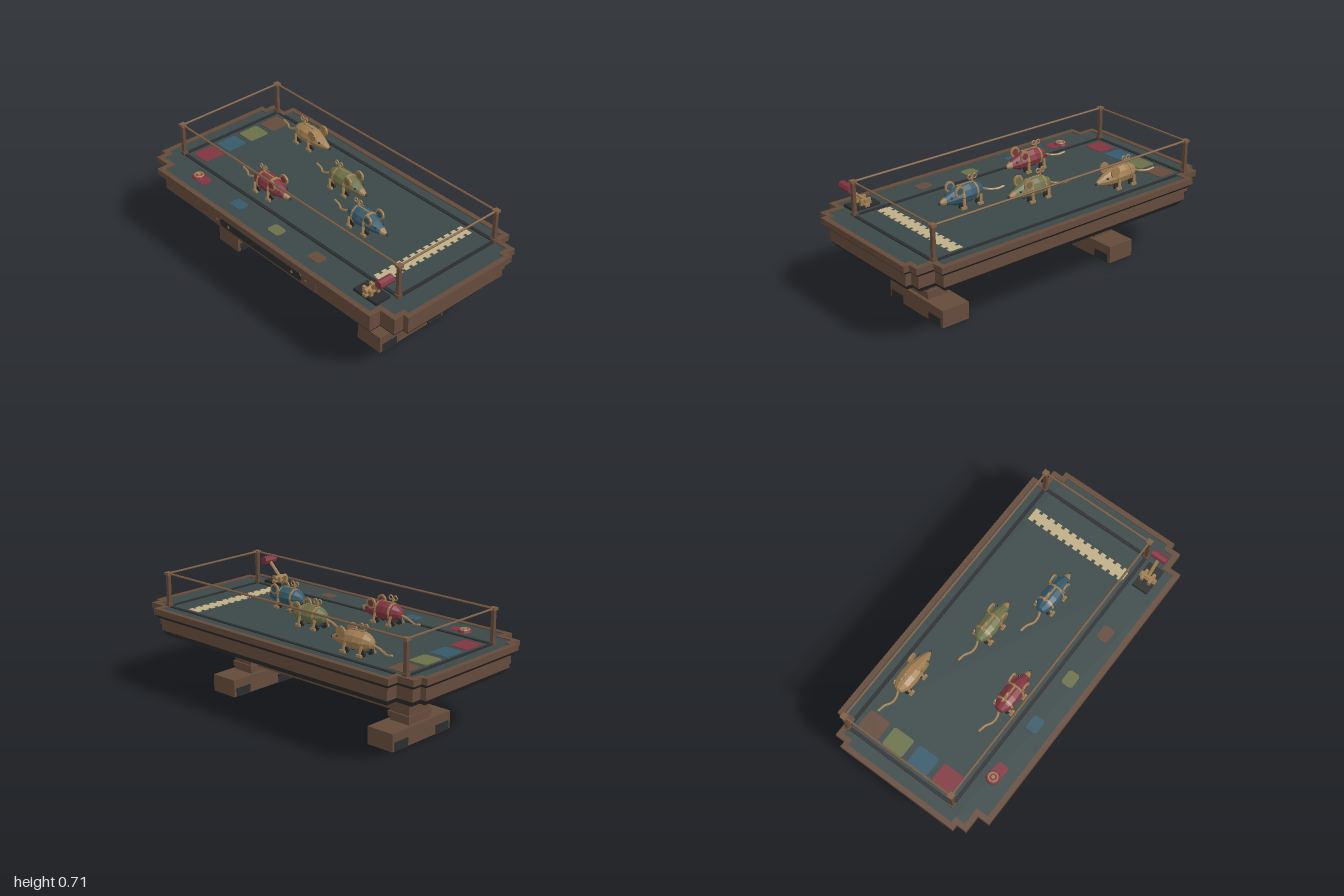
import * as THREE from 'three';

const mat = (name, color) => {
  const m = new THREE.MeshStandardMaterial({ color });
  m.name = name;
  return m;
};

export function createModel() {
  const root = new THREE.Group();
  root.name = 'mouseRaceTable';
  const brown = mat('walnut brown', 0x644b3b), dark = mat('charcoal', 0x2b2c2d), felt = mat('teal felt', 0x3b4848);
  const red = mat('dusty red', 0x80343f), blue = mat('dusty blue', 0x36596b), green = mat('olive green', 0x6b7049);
  const tan = mat('brass tan', 0x9f7d51), cream = mat('cream', 0xbfae86), copper = mat('copper', 0x7d5d43);

  const add = (parent, name, geo, material, x = 0, y = 0, z = 0) => {
    const g = geo.index ? geo.toNonIndexed() : geo;
    g.computeVertexNormals(); // faceted look
    const m = new THREE.Mesh(g, material);
    m.name = name;
    m.position.set(x, y, z);
    parent.add(m);
    return m;
  };
  // box given by its ranges
  const box = (parent, name, material, x0, x1, y0, y1, z0, z1) =>
    add(parent, name, new THREE.BoxGeometry(x1 - x0, y1 - y0, z1 - z0), material,
      (x0 + x1) / 2, (y0 + y1) / 2, (z0 + z1) / 2);
  // straight bar between two points
  const bar = (parent, name, material, a, b, r, sides = 6) => {
    const A = new THREE.Vector3(...a), B = new THREE.Vector3(...b);
    const m = add(parent, name, new THREE.CylinderGeometry(r, r, A.distanceTo(B), sides), material);
    m.position.copy(A).lerp(B, 0.5);
    m.quaternion.setFromUnitVectors(new THREE.Vector3(0, 1, 0), B.sub(A).normalize());
    return m;
  };

  // Table top: stepped corner outline
  const outline = inset => {
    const q = [[1, 0.37], [0.966, 0.37], [0.966, 0.43], [0.866, 0.43], [0.866, 0.5]]
      .map(([x, y]) => [x - inset, y - inset]);
    const r = [...q].reverse();
    return [...q, ...r.map(([x, y]) => [-x, y]), ...q.map(([x, y]) => [-x, -y]), ...r.map(([x, y]) => [x, -y])]
      .map(([x, y]) => new THREE.Vector2(x, y));
  };
  // slab between two heights, narrowing at the bottom by taper
  const slab = (name, material, y0, y1, inset, taper = 0, hole = null) => {
    const shape = new THREE.Shape(outline(inset));
    if (hole !== null) shape.holes.push(new THREE.Path(outline(hole)));
    const g = new THREE.ExtrudeGeometry(shape, { depth: y1 - y0, bevelEnabled: false });
    g.rotateX(-Math.PI / 2).translate(0, y0, 0);
    const p = g.attributes.position;
    for (let i = 0; i < p.count; i++) {
      if (p.getY(i) > (y0 + y1) / 2) continue;
      p.setX(i, p.getX(i) - Math.sign(p.getX(i)) * taper);
      p.setZ(i, p.getZ(i) - Math.sign(p.getZ(i)) * taper);
    }
    add(root, name, g, material);
  };
  slab('topRim', brown, 0.477, 0.512, 0, 0, 0.03);
  slab('feltSurface', felt, 0.478, 0.506, 0.03);
  slab('rimUnderside', dark, 0.455, 0.477, 0, 0.022);
  slab('apron', brown, 0.384, 0.456, 0.03);
  slab('apronBottom', dark, 0.35, 0.385, 0.03, 0.025);

  // Front panel with chamfered plaque, diamonds and studs
  box(root, 'frontPanel', brown, -0.44, 0.44, 0.386, 0.455, 0.46, 0.474);
  const plaque = new THREE.Shape([[-0.32, 0.4], [0.32, 0.4], [0.333, 0.41], [0.333, 0.435], [0.32, 0.446],
    [-0.32, 0.446], [-0.333, 0.435], [-0.333, 0.41]].map(p => new THREE.Vector2(...p)));
  add(root, 'plaque', new THREE.ExtrudeGeometry(plaque, { depth: 0.004, bevelEnabled: false }), dark, 0, 0, 0.474);
  for (const s of [-1, 1]) {
    add(root, 'plaqueDiamond', new THREE.CircleGeometry(0.012, 4), tan, s * 0.26, 0.423, 0.479);
    add(root, 'plaqueStud', new THREE.CircleGeometry(0.007, 8), tan, s * 0.365, 0.423, 0.475);
  }

  // Pedestals and stretcher
  for (const s of [-1, 1]) {
    const leg = new THREE.Group();
    leg.name = 'pedestal';
    leg.position.x = s * 0.59;
    root.add(leg);
    const block = (name, material, hx, y0, y1, hz) => box(leg, name, material, -hx, hx, y0, y1, -hz, hz);
    block('mountPlate', brown, 0.115, 0.335, 0.351, 0.183);
    block('capital', dark, 0.092, 0.285, 0.336, 0.133);
    block('column', brown, 0.066, 0.09, 0.286, 0.083);
    block('collar', brown, 0.074, 0.12, 0.15, 0.092);
    block('foot', brown, 0.085, 0, 0.1, 0.235);
    for (const z of [-0.166, 0.166]) box(leg, 'footPad', dark, -0.09, 0.09, 0, 0.05, z - 0.051, z + 0.051);
  }
  box(root, 'stretcher', brown, -0.53, 0.53, 0.135, 0.2, -0.035, 0.035);

  // Fence: posts, rails and floor strips
  const X = [-0.895, 0.845], Z = [-0.403, 0.288];
  for (const x of X) {
    for (const z of Z) {
      box(root, 'post', brown, x - 0.01, x + 0.01, 0.506, 0.695, z - 0.01, z + 0.01);
      box(root, 'postBase', brown, x - 0.015, x + 0.015, 0.506, 0.526, z - 0.015, z + 0.015);
      box(root, 'postCap', copper, x - 0.016, x + 0.016, 0.691, 0.706, z - 0.016, z + 0.016);
    }
    bar(root, 'sideRail', copper, [x, 0.699, Z[0]], [x, 0.699, Z[1]], 0.006);
    box(root, 'sideStrip', dark, x - 0.008, x + 0.012, 0.505, 0.511, ...Z);
  }
  for (const z of Z) {
    bar(root, 'longRail', copper, [X[0], 0.699, z], [X[1], 0.699, z], 0.006);
    box(root, 'longStrip', dark, ...X, 0.505, 0.511, z - 0.01, z + 0.01);
  }

  // Start pads and betting pads (clipped corners)
  const pad = (name, material, x, z, w, d, c) => {
    const a = w / 2, b = d / 2;
    const s = new THREE.Shape([[a - c, -b], [a, c - b], [a, b - c], [a - c, b], [c - a, b], [-a, b - c],
      [-a, c - b], [c - a, -b]].map(p => new THREE.Vector2(...p)));
    const g = new THREE.ExtrudeGeometry(s, { depth: 0.003, bevelEnabled: false }).rotateX(-Math.PI / 2);
    add(root, name, g, material, x, 0.506, z);
  };
  [[brown, -0.303], [green, -0.143], [blue, 0.023], [red, 0.185]].forEach(([m, z]) =>
    pad('startPad', m, -0.802, z, 0.115, 0.13, 0.01));
  [[red, -0.61], [blue, -0.295], [green, 0.02], [brown, 0.34]].forEach(([m, x]) =>
    pad('bettingPad', m, x, 0.373, 0.088, 0.068, 0.012));

  // Chequered finish line
  box(root, 'finishStrip', cream, 0.657, 0.703, 0.506, 0.509, -0.37, 0.265);
  for (let i = 0; i < 13; i++) {
    const z = -0.37 + i * 0.05;
    box(root, 'finishCheck', cream, 0.64, 0.72, 0.506, 0.509, z, z + 0.03);
  }

  // Start button
  add(root, 'buttonBase', new THREE.CylinderGeometry(0.036, 0.04, 0.012, 12), red, -0.655, 0.512, 0.368);
  add(root, 'buttonRing', new THREE.TorusGeometry(0.024, 0.005, 6, 12).rotateX(Math.PI / 2), tan, -0.655, 0.518, 0.368);
  add(root, 'buttonTop', new THREE.CylinderGeometry(0.01, 0.012, 0.01, 8), tan, -0.655, 0.521, 0.368);

  // Starting lever
  box(root, 'leverBase', dark, 0.66, 0.825, 0.506, 0.522, 0.322, 0.418);
  box(root, 'leverPlate', tan, 0.725, 0.755, 0.515, 0.53, 0.32, 0.42);
  for (const z of [0.346, 0.394]) box(root, 'leverBracket', tan, 0.705, 0.77, 0.52, 0.553, z - 0.008, z + 0.008);
  bar(root, 'leverAxle', tan, [0.738, 0.545, 0.325], [0.738, 0.545, 0.415], 0.014, 8);
  bar(root, 'leverArm', tan, [0.738, 0.545, 0.37], [0.83, 0.635, 0.37], 0.01);
  bar(root, 'leverGrip', red, [0.832, 0.638, 0.325], [0.832, 0.638, 0.415], 0.024, 8);

  // Clockwork mice
  const profile = [[0.0005, -0.14], [0.026, -0.13], [0.046, -0.095], [0.053, -0.04], [0.049, 0.015],
    [0.037, 0.065], [0.022, 0.108], [0.01, 0.136], [0.0005, 0.142]].map(p => new THREE.Vector2(...p));
  // turned section of the body, its snout drooping a little
  const turned = (pts, grow = 0) => {
    const g = new THREE.LatheGeometry(pts.map(p => new THREE.Vector2(p.x + grow, p.y)), 10).rotateZ(-Math.PI / 2);
    const p = g.attributes.position;
    for (let i = 0; i < p.count; i++) p.setY(i, p.getY(i) - Math.max(0, p.getX(i)) * 0.14);
    return g;
  };
  const hoop = (x0, x1, r0, r1) => turned([new THREE.Vector2(r0, x0), new THREE.Vector2(r0 + 0.003, x0),
    new THREE.Vector2(r1 + 0.003, x1), new THREE.Vector2(r1, x1)]);

  const mouse = (material, x, z) => {
    const m = new THREE.Group();
    m.name = 'racingMouse';
    m.position.set(x, 0.582, z);
    root.add(m);
    add(m, 'body', turned(profile.slice(0, 7)), material);
    add(m, 'snout', turned(profile.slice(6)), tan);
    add(m, 'noseTip', new THREE.IcosahedronGeometry(0.009, 0), dark, 0.141, -0.02, 0);
    add(m, 'rearBand', hoop(-0.086, -0.074, 0.047, 0.049), tan);
    add(m, 'frontBand', hoop(0.008, 0.02, 0.05, 0.048), tan);
    box(m, 'spineSeam', tan, -0.08, 0.012, 0.046, 0.053, -0.004, 0.004);
    for (const s of [-1, 1]) {
      const ear = new THREE.CylinderGeometry(0.031, 0.031, 0.01, 10).rotateX(Math.PI / 2);
      add(m, 'ear', ear, tan, 0.042, 0.036, s * 0.044);
      const inner = new THREE.CylinderGeometry(0.02, 0.02, 0.012, 10).rotateX(Math.PI / 2);
      add(m, 'innerEar', inner, material, 0.042, 0.036, s * 0.044);
      add(m, 'eye', new THREE.IcosahedronGeometry(0.007, 0), dark, 0.083, 0.004, s * 0.028);
      for (const fx of [-0.098, 0.012]) {
        bar(m, 'leg', tan, [fx, -0.012, s * 0.046], [fx + 0.006, -0.058, s * 0.054], 0.008);
        box(m, 'paw', tan, fx - 0.008, fx + 0.026, -0.068, -0.055, s * 0.053 - 0.007, s * 0.053 + 0.007);
        const wheel = new THREE.CylinderGeometry(0.02, 0.02, 0.013, 8).rotateX(Math.PI / 2);
        add(m, 'wheel', wheel, dark, fx + 0.006, -0.054, s * 0.031);
      }
      add(m, 'keyLoop', new THREE.TorusGeometry(0.0125, 0.004, 5, 10), tan, -0.075 + s * 0.016, 0.079, 0);
    }
    for (const fx of [-0.092, 0.018]) bar(m, 'axle', dark, [fx, -0.052, -0.035], [fx, -0.052, 0.035], 0.006);
    bar(m, 'keyStem', tan, [-0.075, 0.04, 0], [-0.075, 0.082, 0], 0.006);
    const tail = new THREE.CatmullRomCurve3([[-0.13, -0.005, 0], [-0.165, -0.02, 0.012], [-0.2, -0.032, 0.008],
      [-0.235, -0.032, -0.012], [-0.275, -0.026, -0.018]].map(p => new THREE.Vector3(...p)));
    add(m, 'tail', new THREE.TubeGeometry(tail, 14, 0.0065, 6), tan);
    add(m, 'tailTip', new THREE.IcosahedronGeometry(0.007, 0), tan, -0.275, -0.026, -0.018);
  };
  mouse(tan, -0.46, -0.303);
  mouse(green, 0.015, -0.14);
  mouse(blue, 0.347, 0.025);
  mouse(red, -0.232, 0.186);

  return root;
}
